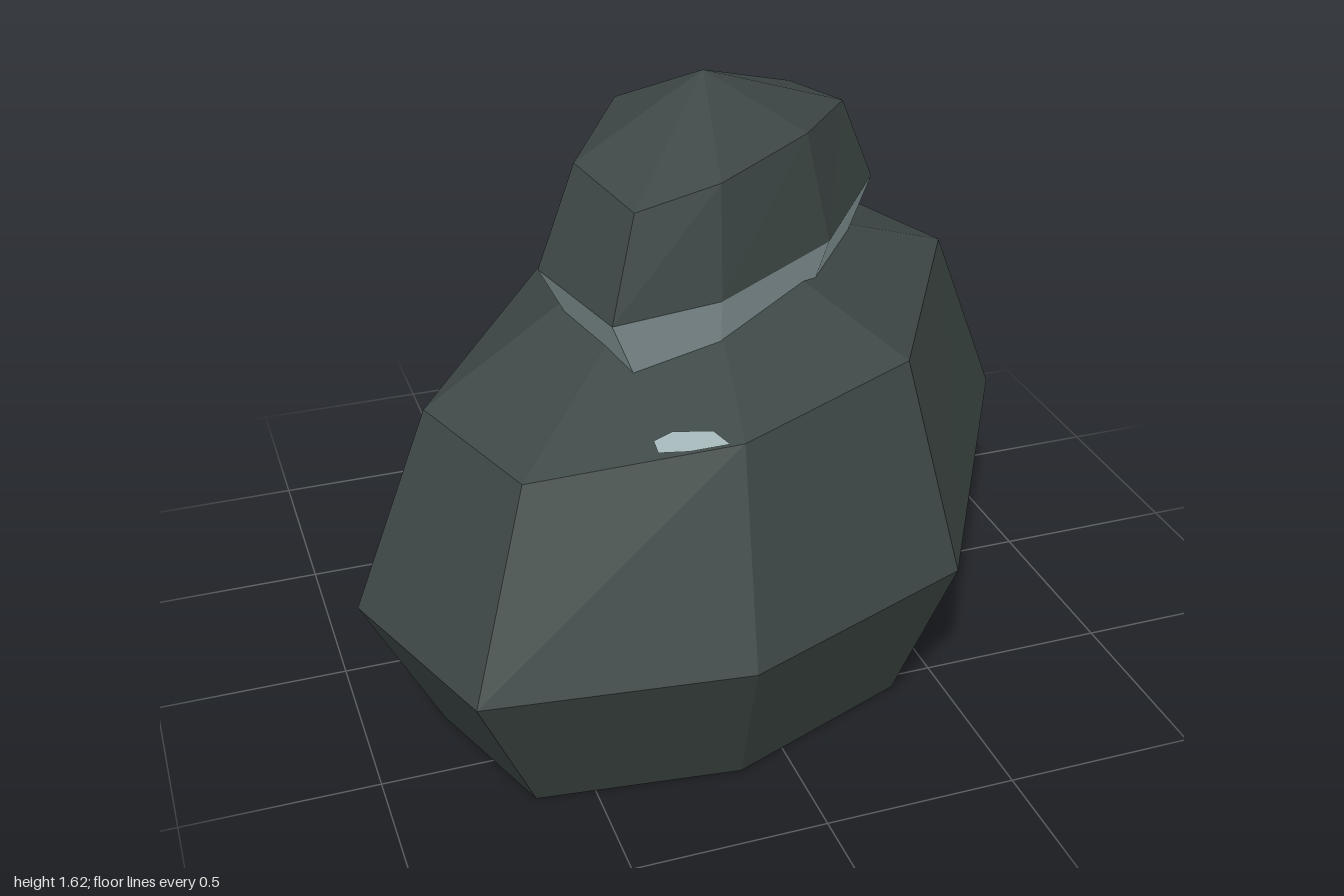
import * as THREE from 'three';

const darkStone = new THREE.MeshStandardMaterial({ color: 0x3d4745 });
const paleStone = new THREE.MeshStandardMaterial({ color: 0x9fb2b4 });
darkStone.name = 'dark stone';
paleStone.name = 'pale stone';
darkStone.flatShading = paleStone.flatShading = true;

// Faceted surface through rings of [x, y, z]; a ring of one point is a tip
function loft(name, rings, material) {
  const pos = [];
  for (let r = 0; r < rings.length - 1; r++) {
    const a = rings[r], b = rings[r + 1];
    const n = Math.max(a.length, b.length);
    for (let i = 0; i < n; i++) {
      const j = (i + 1) % n;
      if (a.length > 1) pos.push(...a[i], ...a[j], ...b[j % b.length]);
      if (b.length > 1) pos.push(...a[i % a.length], ...b[j], ...b[i]);
    }
  }
  const geo = new THREE.BufferGeometry();
  geo.setAttribute('position', new THREE.Float32BufferAttribute(pos, 3));
  geo.computeVertexNormals();
  const mesh = new THREE.Mesh(geo, material);
  mesh.name = name;
  return mesh;
}

// Scale an [x, z] outline about a centre and place it at given heights
const ring = (outline, scale, heights, cx = 0, cz = 0) => outline.map(([x, z], i) => [
  cx + (x - cx) * scale,
  Array.isArray(heights) ? heights[i] : heights,
  cz + (z - cz) * scale,
]);

export function createModel() {
  const group = new THREE.Group();
  group.name = 'stackedRocks';

  // Large lower boulder
  const bigOutline = [[-1, 0.36], [-0.82, 0.86], [-0.165, 0.94], [0.47, 0.69],
    [1, -0.22], [0.84, -0.94], [0.3, -0.85], [-0.44, -0.37]];
  const bigTop = ring(bigOutline, 0.79, [0.92, 0.905, 0.95, 0.985, 0.95, 0.905, 0.945, 0.98]);
  const bigPeak = [0, 1.25, 0];
  group.add(loft('lowerBoulder', [
    [[0, 0, 0]],
    ring(bigOutline, 0.79, 0),
    ring(bigOutline, 1, 0.44),
    bigTop,
    [bigPeak],
  ], darkStone));

  // Small upper boulder: pale underside, dark cap
  const cx = 0.03, cz = 0.07;
  const smallOutline = [[-0.47, 0.195], [-0.39, 0.555], [-0.105, 0.51], [0.265, 0.27],
    [0.54, -0.1], [0.45, -0.355], [0.12, -0.39], [-0.2, -0.26]];
  const waist = ring(smallOutline, 1, 1.205);
  group.add(loft('upperBoulderUnderside', [
    [[cx, 1, cz]],
    ring(smallOutline, 0.79, 1, cx, cz),
    waist,
  ], paleStone));
  group.add(loft('upperBoulderCap', [
    waist,
    ring(smallOutline, 0.79, [1.46, 1.435, 1.465, 1.485, 1.445, 1.44, 1.46, 1.48], cx, cz),
    [[0, 1.62, 0.065]],
  ], darkStone));

  // Pale fleck lying on the front slope of the lower boulder
  const [p, q] = [bigTop[1], bigTop[2]];
  const det = p[0] * q[2] - q[0] * p[2];
  const fleck = [[-0.33, 0.67], [-0.33, 0.705], [-0.26, 0.725], [-0.165, 0.737],
    [-0.19, 0.69], [-0.28, 0.66]].map(([x, z]) => {
    const a = (x * q[2] - q[0] * z) / det, b = (p[0] * z - x * p[2]) / det;
    return [x, bigPeak[1] + a * (p[1] - bigPeak[1]) + b * (q[1] - bigPeak[1]) + 0.005, z];
  });
  const middle = [0, 1, 2].map((k) => fleck.reduce((s, v) => s + v[k], 0) / fleck.length);
  group.add(loft('paleFleck', [fleck, [middle]], paleStone));

  return group;
}
